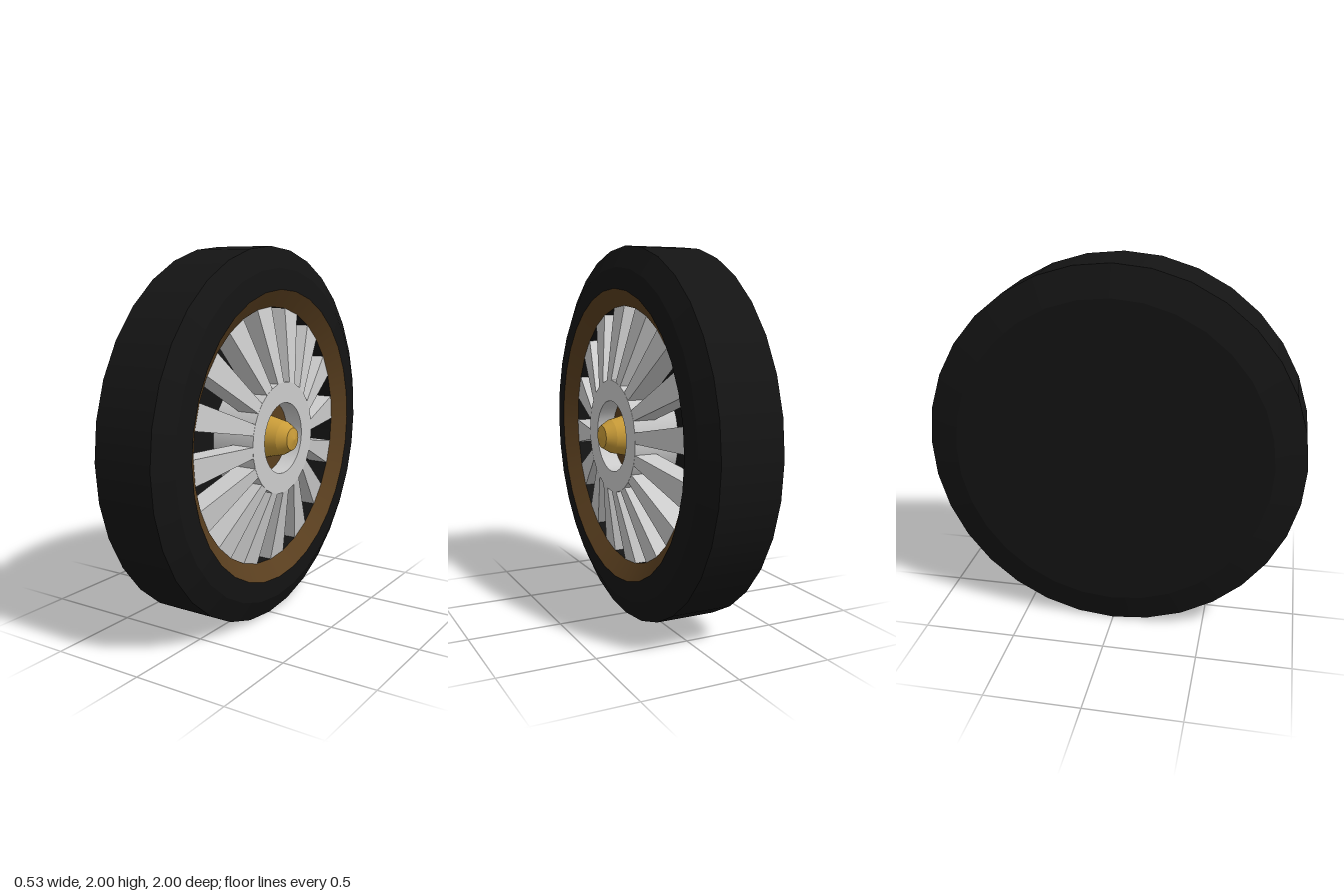
import * as THREE from 'three';

const SIDES = 32;
const paint = (color) => new THREE.MeshStandardMaterial({ color });

export function createModel() {
  const wheel = new THREE.Group();
  wheel.name = 'wheel';
  wheel.position.y = 1;

  const rubber = paint(0x141414);
  const brown = paint(0x5a3f1f);
  const gold = paint(0xc89b38);
  const grey = paint(0xcccccc);

  // Turned part around the x axis from [radius, x] points, one crisp band per pair
  function turned(name, profile, material) {
    const group = new THREE.Group();
    group.name = name;
    for (let i = 0; i < profile.length - 1; i++) {
      const band = profile.slice(i, i + 2).map(([r, x]) => new THREE.Vector2(r, x));
      const geometry = new THREE.LatheGeometry(band, SIDES).rotateZ(-Math.PI / 2);
      const mesh = new THREE.Mesh(geometry, material);
      mesh.name = name + 'Band';
      group.add(mesh);
    }
    wheel.add(group);
  }

  // Tyre with a closed back, bevelled shoulders and front sidewall
  turned('tyre', [[0, -0.27], [0.84, -0.27], [1, -0.22], [1, 0.11], [0.89, 0.165], [0.78, 0.175]], rubber);
  // Sloping rim, then the dark well behind the spokes
  turned('rim', [[0.78, 0.175], [0.69, 0.115]], brown);
  turned('innerWell', [[0.69, 0.115], [0.69, -0.05], [0, -0.05]], rubber);
  // Hub ring with its recessed floor and pointed cap
  turned('hub', [[0.3, -0.05], [0.3, 0.195], [0.19, 0.195], [0.19, 0.1]], grey);
  turned('hubFloor', [[0.19, 0.1], [0, 0.1]], brown);
  turned('hubCap', [[0.113, 0.1], [0.09, 0.2], [0.06, 0.25], [0, 0.265]], gold);

  // Wedge spoke: a box bent to radial sides, leaning back toward the rim
  const spokeGeometry = new THREE.BoxGeometry(1, 1, 1);
  const p = spokeGeometry.attributes.position;
  for (let i = 0; i < p.count; i++) {
    const outer = p.getY(i) + 0.5;
    const radius = 0.295 + 0.4 * outer;
    const angle = (p.getZ(i) + 0.5) * (Math.PI / 16);
    const front = 0.195 - 0.08 * outer;
    p.setXYZ(i, front - (p.getX(i) < 0 ? 0.12 : 0), radius * Math.cos(angle), radius * Math.sin(angle));
  }
  spokeGeometry.computeVertexNormals();
  for (let i = 0; i < 16; i++) {
    const spoke = new THREE.Mesh(spokeGeometry, grey);
    spoke.name = 'spoke';
    spoke.rotation.x = (i * Math.PI) / 8;
    wheel.add(spoke);
  }

  const model = new THREE.Group();
  model.name = 'wheelModel';
  model.add(wheel);
  return model;
}
